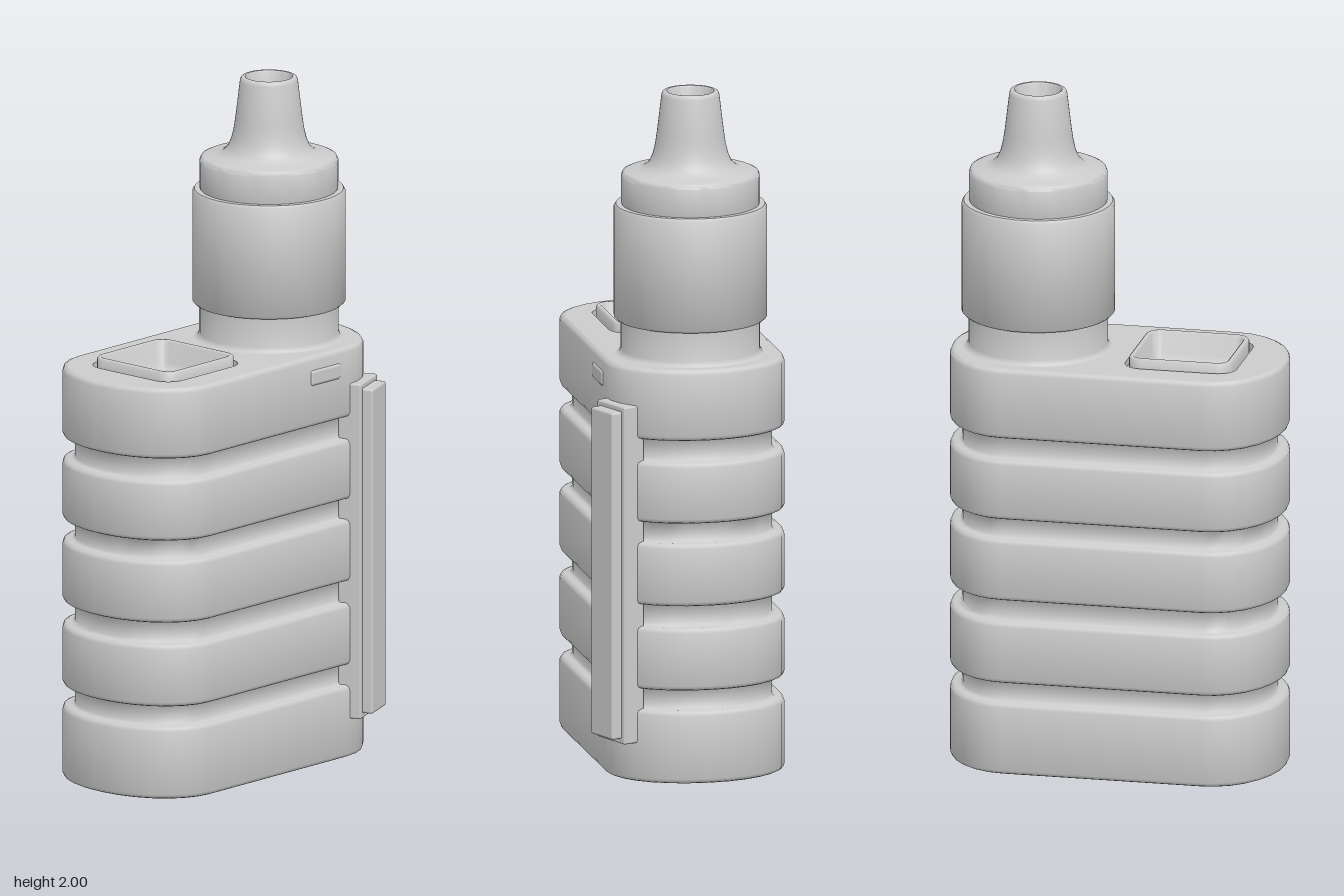
import * as THREE from 'three';
import { toCreasedNormals } from 'three/addons/utils/BufferGeometryUtils.js';
import { RoundedBoxGeometry } from 'three/addons/geometries/RoundedBoxGeometry.js';

const material = new THREE.MeshStandardMaterial({ color: 0xcccccc });
const BODY = { hx: 0.495, hz: 0.263, rx: 0.2, rz: 0.255 };
const FRAME = { hx: 0.153, hz: 0.153, rx: 0.045, rz: 0.045 };
const Z = -0.025, TOP = 1.225;

function mesh(name, geometry, x = 0, y = 0, z = 0) {
  const m = new THREE.Mesh(geometry, material);
  m.name = name;
  m.position.set(x, y, z);
  return m;
}

// Rounded rectangle with elliptical corners, shrunk by inset
function outline({ hx, hz, rx, rz }, inset, steps = 7) {
  const points = [];
  for (let q = 0; q < 4; q++) {
    const sx = q === 0 || q === 3 ? 1 : -1, sz = q < 2 ? 1 : -1;
    for (let i = 0; i <= steps; i++) {
      const t = (q + i / steps) * Math.PI / 2;
      points.push(new THREE.Vector2(
        sx * (hx - rx) + Math.cos(t) * Math.max(rx - inset, 0.005),
        sz * (hz - rz) + Math.sin(t) * Math.max(rz - inset, 0.005)));
    }
  }
  return points;
}

// Sweeps a profile of [inset, y] around an outline; a null inset closes at the centre
function loft(form, profile) {
  const positions = [], index = [];
  const n = outline(form, 0).length;
  profile.forEach(([inset, y], r) => {
    for (const p of outline(form, inset ?? 0)) {
      positions.push(inset === null ? 0 : p.x, y, inset === null ? 0 : p.y);
    }
    if (r === 0) return;
    for (let j = 0; j < n; j++) {
      const k = (j + 1) % n, a = (r - 1) * n, b = r * n;
      index.push(a + j, b + j, a + k, a + k, b + j, b + k);
    }
  });
  const g = new THREE.BufferGeometry();
  g.setAttribute('position', new THREE.Float32BufferAttribute(positions, 3));
  g.setIndex(index);
  return toCreasedNormals(g, 0.85);
}

function lathe(profile) {
  const points = profile.map(([r, y]) => new THREE.Vector2(r, y));
  return toCreasedNormals(new THREE.LatheGeometry(points, 48), 0.85);
}

function createBody() {
  const group = new THREE.Group();
  group.name = 'body';

  // Ribbed shell with a hollow underside
  const profile = [[null, 0.26], [0.065, 0.26], [0.06, 0.03], [0.05, 0.008], [0.035, 0]];
  const bands = [[0, 0.215], [0.275, 0.46], [0.525, 0.71], [0.77, 0.95], [1.015, TOP]];
  const r = 0.014, groove = 0.036;
  bands.forEach(([low, high], i) => {
    if (i > 0) profile.push([groove, low - 0.006], [groove - 0.006, low]);
    profile.push([r, low], [r * 0.3, low + r * 0.3], [0, low + r],
      [0, high - r], [r * 0.3, high - r * 0.3], [r, high]);
    if (i < bands.length - 1) profile.push([groove - 0.006, high], [groove, high + 0.006]);
  });
  group.add(mesh('ribbedShell', loft(BODY, profile), 0, 0, Z));

  // Top plate with an opening for the window frame
  const flip = p => new THREE.Vector2(p.x, -p.y);
  const plate = new THREE.Shape(outline(BODY, r).map(flip));
  plate.holes.push(new THREE.Path(outline(FRAME, -0.012)
    .map(p => new THREE.Vector2(p.x - 0.205, -p.y))));
  const plateGeometry = new THREE.ShapeGeometry(plate).rotateX(-Math.PI / 2);
  group.add(mesh('topPlate', plateGeometry, 0, TOP, Z));

  // Raised window frame standing in a narrow channel, with a sunken floor
  group.add(mesh('windowFrame', loft(FRAME, [
    [-0.012, TOP], [-0.012, TOP - 0.02], [0, TOP - 0.02],
    [0, TOP + 0.02], [0.005, TOP + 0.025], [0.012, TOP + 0.025],
    [0.017, TOP + 0.02], [0.02, TOP - 0.04], [0.035, TOP - 0.055], [null, TOP - 0.06],
  ]), -0.205, 0, Z));
  return group;
}

function createTank() {
  const group = new THREE.Group();
  group.name = 'tank';
  group.position.set(0.242, 0, Z);
  group.add(mesh('tankBase', lathe([
    [0.215, TOP], [0.207, 1.229], [0.202, 1.24], [0.202, 1.335],
  ])));
  group.add(mesh('tankSleeve', lathe([
    [0.19, 1.328], [0.215, 1.328], [0.222, 1.335], [0.222, 1.658],
    [0.216, 1.667], [0.195, 1.667],
  ])));
  // Cap curving up into the hollow mouthpiece
  group.add(mesh('capAndMouthpiece', lathe([
    [0.196, 1.655], [0.201, 1.672], [0.201, 1.75], [0.197, 1.76], [0.188, 1.764],
    [0.155, 1.767], [0.135, 1.775], [0.12, 1.79], [0.109, 1.815], [0.102, 1.845],
    [0.097, 1.88], [0.084, 1.988], [0.081, 1.997], [0.076, 2], [0.069, 2],
    [0.065, 1.994], [0.063, 1.75], [0, 1.75],
  ])));
  return group;
}

// Long bar on its backing plate, turned to follow the rounded front corner
function createSideBar() {
  const group = new THREE.Group();
  group.name = 'sideBar';
  group.position.set(0.365, 0.615, 0.21);
  group.rotation.y = 0.38;
  group.add(mesh('backingPlate', new RoundedBoxGeometry(0.14, 1, 0.07, 2, 0.006)));
  group.add(mesh('pressBar', new RoundedBoxGeometry(0.112, 0.97, 0.055, 2, 0.008), 0, 0, 0.04));
  return group;
}

export function createModel() {
  const model = new THREE.Group();
  model.name = 'vaporizer';
  model.add(createBody(), createTank(), createSideBar());
  model.add(mesh('frontButton', new RoundedBoxGeometry(0.13, 0.048, 0.03, 3, 0.01), 0.195, 1.162, 0.228));
  return model;
}
